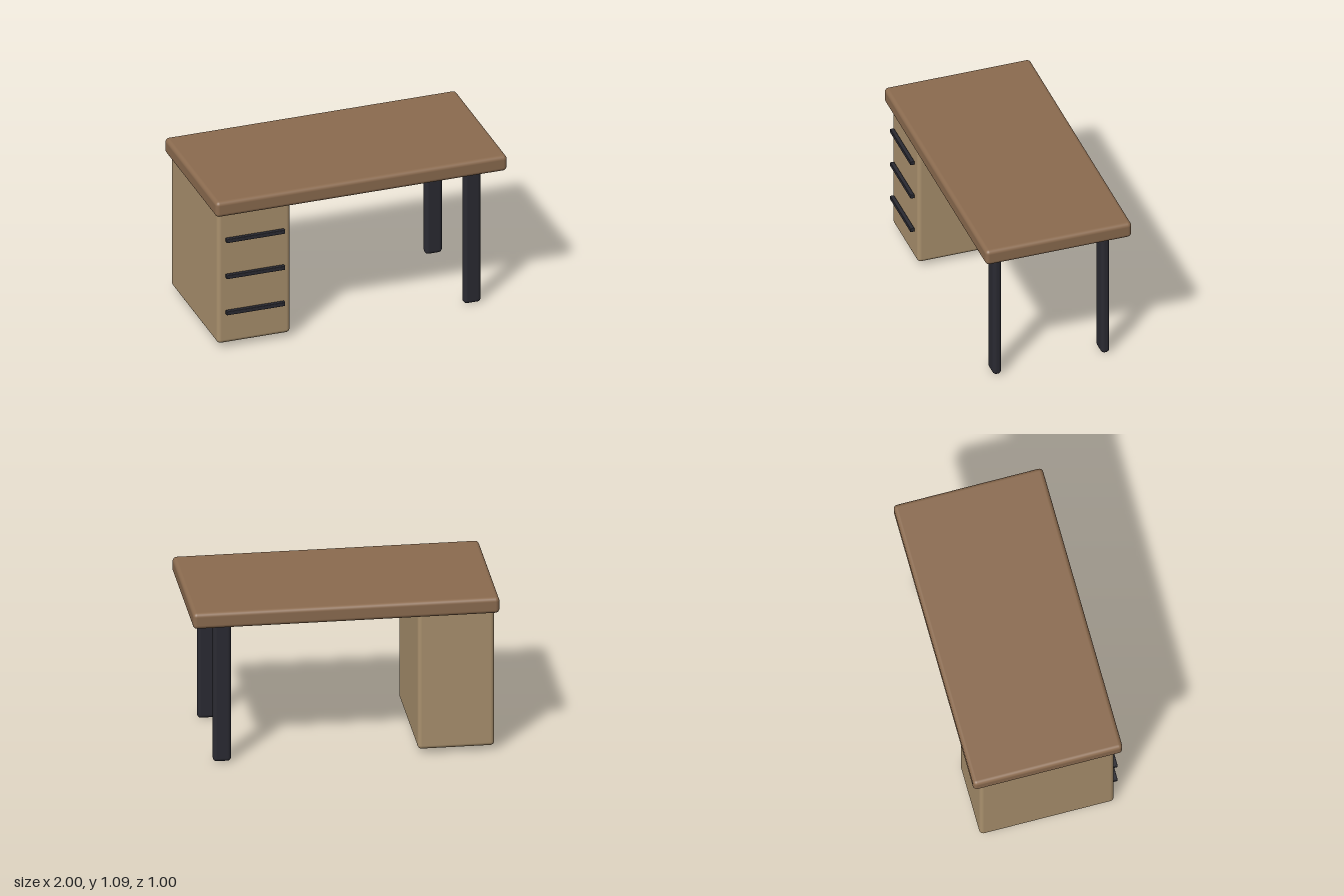
import * as THREE from 'three';
import { RoundedBoxGeometry } from 'three/addons/geometries/RoundedBoxGeometry.js';

function material(name, color) {
  const m = new THREE.MeshStandardMaterial({ color });
  m.name = name;
  return m;
}

export function createModel() {
  const desk = new THREE.Group();
  desk.name = 'desk';

  const wood = material('brown wood', 0x8b6b4f);
  const tan = material('tan cabinet', 0xa9906d);
  const dark = material('dark metal', 0x2a2a32);

  // Rounded block given by its size and centre
  function block(name, mat, [w, h, d], [x, y, z], radius) {
    const mesh = new THREE.Mesh(new RoundedBoxGeometry(w, h, d, 4, radius), mat);
    mesh.name = name;
    mesh.position.set(x, y, z);
    desk.add(mesh);
  }

  // Table top
  block('tableTop', wood, [2, 0.11, 1], [0, 1.031, 0], 0.027);

  // Drawer cabinet, its upper edge sunk into the table top
  block('drawerCabinet', tan, [0.5, 0.976, 0.9], [-0.723, 0.52, 0], 0.027);

  // Drawer handles, held just off the cabinet front
  [0.79, 0.528, 0.265].forEach((y, i) =>
    block(`drawerHandle${i + 1}`, dark, [0.401, 0.028, 0.028], [-0.722, y, 0.471], 0.004));

  // Front and back legs, their upper ends sunk into the table top
  for (const [name, side] of [['frontLeg', 1], ['backLeg', -1]]) {
    block(name, dark, [0.118, 1.01, 0.059], [0.797, 0.505, side * 0.3705], 0.025);
  }

  return desk;
}
